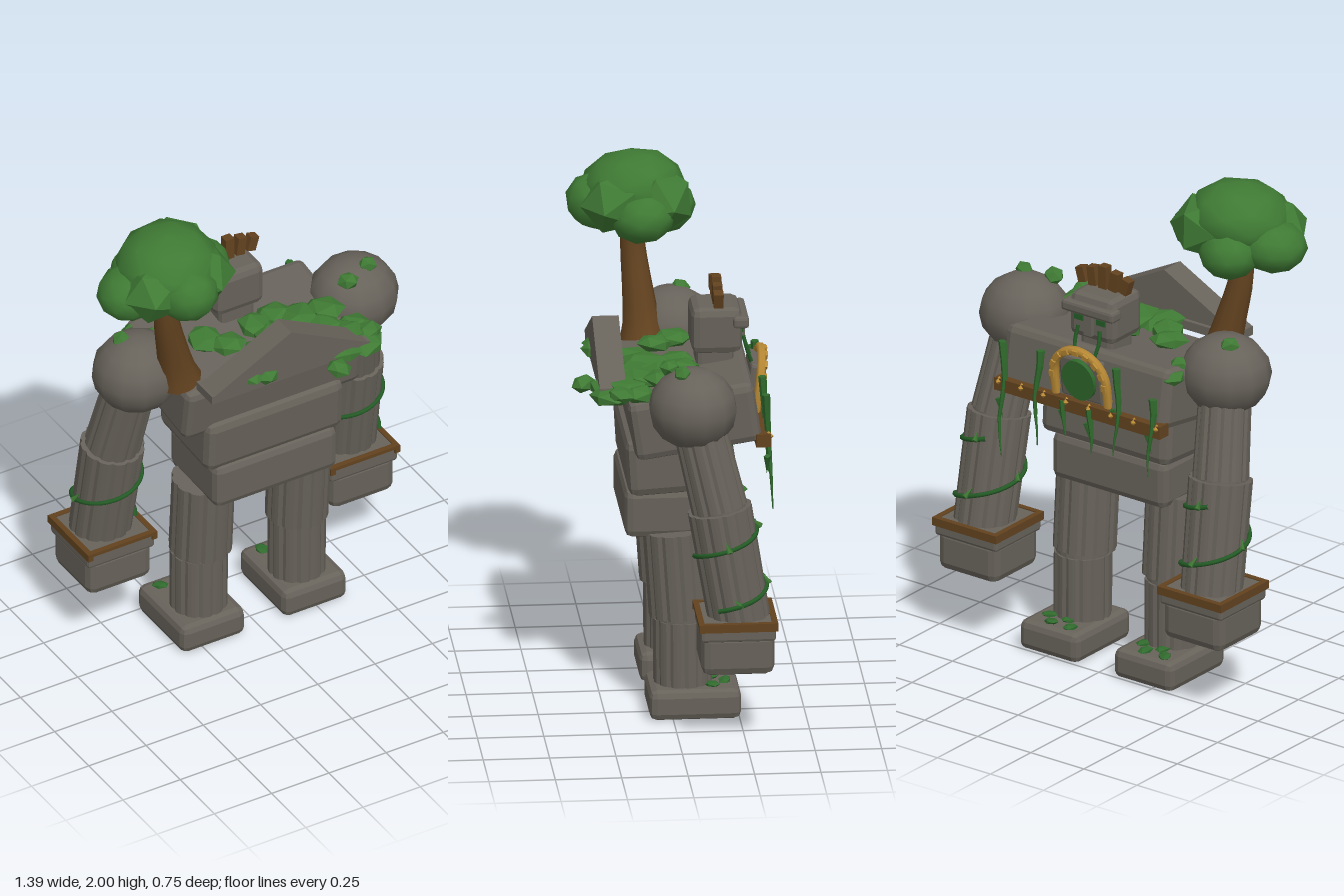
import * as THREE from 'three';
import { RoundedBoxGeometry } from 'three/addons/geometries/RoundedBoxGeometry.js';

const paint = (name, color) => Object.assign(new THREE.MeshStandardMaterial({ color }), { name });
const V = (x, y, z) => new THREE.Vector3(x, y, z);

export function createModel() {
  const stone = paint('stone', 0x67625a);
  const wood = paint('wood', 0x62421f);
  const gold = paint('gold', 0xb98a35);
  const leaf = paint('leaf', 0x3f7a34);
  const ivy = paint('ivy', 0x306a2d);
  const vineGreen = paint('vine', 0x245c26);

  const root = new THREE.Group();
  root.name = 'stoneGolem';
  const body = new THREE.Group();
  body.name = 'body';
  body.position.x = 0.018;
  root.add(body);

  let seed = 7;
  const rnd = () => (seed = (seed * 16807) % 2147483647) / 2147483647;

  const add = (name, geo, mat, x = 0, y = 0, z = 0, rx = 0, ry = 0, rz = 0) => {
    const m = new THREE.Mesh(geo, mat);
    m.name = name;
    m.position.set(x, y, z);
    m.rotation.set(rx, ry, rz);
    body.add(m);
    return m;
  };
  const flat = (g) => {
    const f = g.index ? g.toNonIndexed() : g;
    f.computeVertexNormals();
    return f;
  };
  // Block with chamfered edges
  const block = (w, h, d, c) => flat(new RoundedBoxGeometry(w, h, d, 1, c));
  const box = (w, h, d) => new THREE.BoxGeometry(w, h, d);

  // Column between two points, with shallow grooves around it
  const column = (name, a, b, r0, r1, fluted = true) => {
    const len = a.distanceTo(b);
    const g = new THREE.CylinderGeometry(r1, r0, len, fluted ? 48 : 20, 1);
    if (fluted) {
      const p = g.attributes.position;
      for (let i = 0; i < p.count; i++) {
        const k = Math.round((Math.atan2(p.getZ(i), p.getX(i)) / (2 * Math.PI)) * 48 + 48) % 4;
        const s = k === 0 ? 0.94 : 1;
        p.setXYZ(i, p.getX(i) * s, p.getY(i), p.getZ(i) * s);
      }
    }
    const m = add(name, flat(g), stone);
    m.position.copy(a).lerp(b, 0.5);
    m.quaternion.setFromUnitVectors(V(0, 1, 0), b.clone().sub(a).normalize());
  };

  // Uneven low-poly clump
  const clump = (name, x, y, z, sx, sy, sz, detail, mat = leaf) => {
    const g = new THREE.IcosahedronGeometry(1, detail);
    const m = add(name, g, mat, x, y, z, (rnd() - 0.5) * 0.3, rnd() * 6, (rnd() - 0.5) * 0.3);
    m.scale.set(sx, sy, sz);
  };
  const tube = (name, pts, r, mat, n = 32) =>
    add(name, new THREE.TubeGeometry(new THREE.CatmullRomCurve3(pts), n, r, 6), mat);

  // Torso
  add('pelvis', block(0.535, 0.19, 0.35, 0.03), stone, 0, 0.792, 0);
  add('waist', block(0.6, 0.225, 0.37, 0.035), stone, 0, 0.99, -0.015, 0.06);
  add('chest', block(0.775, 0.235, 0.48, 0.03), stone, 0, 1.19, -0.078, 0.15);

  // Pediment on the back
  const gable = new THREE.Shape([[-0.34, 1.32], [0.34, 1.32], [0, 1.495]].map((p) => new THREE.Vector2(...p)));
  add('pediment', new THREE.ExtrudeGeometry(gable, { depth: 0.1, bevelEnabled: false }), stone, 0, 0, 0.177);
  add('cornice', box(0.69, 0.035, 0.115), stone, 0, 1.305, 0.217);

  // Head with brow, nose and eyes, facing backward
  add('neck', block(0.15, 0.12, 0.14, 0.02), stone, 0, 1.33, -0.18);
  add('head', block(0.212, 0.18, 0.19, 0.03), stone, 0, 1.452, -0.185);
  add('brow', block(0.245, 0.045, 0.06, 0.012), stone, 0, 1.49, -0.275);
  add('nose', box(0.035, 0.08, 0.025), stone, 0, 1.43, -0.285);
  for (const s of [-1, 1]) add('eye', box(0.04, 0.022, 0.008), vineGreen, s * 0.052, 1.45, -0.282);

  // Crown of wooden blocks
  for (let i = -2; i <= 2; i++) {
    add('crownBlock', box(0.036, 0.09 - Math.abs(i) * 0.015, 0.036), wood,
      i * 0.051, 1.597 - Math.abs(i) * 0.007, -0.19, 0, 0, -i * 0.14);
  }

  // Legs, feet, arms and hands
  for (const s of [-1, 1]) {
    const x = s * 0.222;
    add('foot', block(0.277, 0.118, 0.345, 0.028), stone, x, 0.059, -0.083);
    column('lowerLeg', V(s * 0.214, 0.11, -0.045), V(s * 0.214, 0.37, -0.043), 0.11, 0.11);
    column('knee', V(s * 0.214, 0.357, -0.042), V(s * 0.214, 0.392, -0.04), 0.104, 0.104, false);
    column('upperLeg', V(s * 0.21, 0.385, -0.038), V(s * 0.21, 0.72, -0.015), 0.12, 0.12);
    for (let i = 0; i < 4; i++)
      clump('footMoss', x + (i - 1.5) * 0.045, 0.122, -0.2 + (i % 2) * 0.05, 0.034, 0.012, 0.026, 0, ivy);

    const shoulder = add('shoulder', new THREE.SphereGeometry(1, 12, 8), stone, s * 0.473, 1.283, -0.062, 0, 0.2, 0);
    shoulder.scale.set(0.176, 0.156, 0.168);
    const elbow = V(s * 0.522, 0.9, -0.158);
    const wrist = V(s * 0.535, 0.47, -0.23);
    column('upperArm', elbow, V(s * 0.485, 1.23, -0.08), 0.107, 0.1);
    column('elbow', V(s * 0.523, 0.885, -0.161), V(s * 0.52, 0.925, -0.154), 0.1, 0.1, false);
    column('forearm', wrist, elbow, 0.118, 0.122);
    add('cuff', block(0.292, 0.07, 0.282, 0.012), stone, s * 0.53, 0.451, -0.217);
    add('fist', block(0.278, 0.17, 0.276, 0.034), stone, s * 0.53, 0.363, -0.217);
    // Wooden frame round the cuff
    for (const t of [-1, 1]) {
      add('cuffFrameSide', box(0.022, 0.032, 0.298), wood, s * 0.53 + t * 0.14, 0.474, -0.217);
      add('cuffFrameEnd', box(0.3, t > 0 ? 0.014 : 0.032, 0.022), wood, s * 0.53, t > 0 ? 0.483 : 0.474, -0.217 + t * 0.138);
    }

    // Vine winding up the forearm
    const pts = [];
    for (let i = 0; i <= 28; i++) {
      const a = Math.PI * (2.2 - i * 0.1);
      const y = 0.77 - (a / (2 * Math.PI)) * 0.22;
      const c = wrist.clone().lerp(elbow, (y - 0.47) / 0.43);
      pts.push(V(c.x + Math.cos(a) * 0.126, y, c.z + Math.sin(a) * 0.126));
    }
    tube('armVine', pts, 0.009, vineGreen, 64);
    for (const i of [2, 7, 12, 22, 27]) {
      const p = pts[i];
      add('vineLeaf', new THREE.ConeGeometry(0.013, 0.045, 4), leaf,
        p.x, p.y + 0.015, p.z, 0.3, i, 0.5 * Math.sign(Math.sin(i)));
    }
  }

  // Wooden beam with gold studs across the chest
  add('beam', box(0.78, 0.05, 0.055), wood, 0, 1.115, -0.335);
  for (let i = 0; i < 8; i++)
    add('stud', new THREE.OctahedronGeometry(0.019), gold, -0.371 + i * 0.106, 1.128, -0.356);

  // Gold arch around a green medallion, leaning out at the top
  const shrine = new THREE.Group();
  shrine.name = 'archShrine';
  shrine.position.set(0, 1.13, -0.328);
  shrine.rotation.x = -0.14;
  body.add(shrine);
  const arch = [V(-0.122, 0, 0)];
  for (let i = 0; i <= 12; i++) {
    const a = Math.PI * (1 - i / 12);
    arch.push(V(Math.cos(a) * 0.122, 0.1 + Math.sin(a) * 0.12, 0));
  }
  arch.push(V(0.122, 0, 0));
  shrine.add(tube('goldArch', arch, 0.018, gold, 40));
  for (let i = 0; i <= 8; i++) {
    const a = (Math.PI * i) / 8;
    shrine.add(add('archKnob', box(0.02, 0.026, 0.02), gold, Math.cos(a) * 0.122, 0.1 + Math.sin(a) * 0.12, -0.012, 0, 0, a));
  }
  shrine.add(add('medallionBack', block(0.2, 0.18, 0.04, 0.012), stone, 0, 0.095, 0.02));
  const medal = add('medallion', new THREE.CylinderGeometry(1, 1, 0.02, 20), ivy, 0, 0.1, -0.006, Math.PI / 2);
  medal.scale.set(0.076, 1, 0.084);
  shrine.add(medal);

  // Hanging vines, thick at the top and pointed below
  const hanging = [[-0.345, 1.24, 0.93], [-0.185, 1.32, 0.97], [-0.06, 1.13, 0.95], [0.06, 1.13, 0.99], [0.19, 1.3, 0.92], [0.355, 1.29, 0.83]];
  for (const [x, top, low] of hanging) {
    const h = top - low;
    const g = new THREE.CylinderGeometry(0.016, 0.002, h, 6, 6);
    const p = g.attributes.position;
    for (let i = 0; i < p.count; i++) p.setX(i, p.getX(i) + Math.sin(p.getY(i) * 18 + x * 9) * 0.01);
    add('hangingVine', flat(g), ivy, x, (top + low) / 2, -0.36, 0.06);
    add('hangingLeaf', new THREE.ConeGeometry(0.014, 0.08, 4), ivy, x + 0.015, top - h * 0.6, -0.35, Math.PI, 0, 0.3);
  }
  for (const s of [-1, 1]) tube('neckVine', [V(s * 0.05, 1.42, -0.288), V(s * 0.055, 1.37, -0.3), V(s * 0.045, 1.31, -0.32)], 0.008, vineGreen, 8);

  // Moss over the shoulders and back: x, y, z, size
  const moss = [
    [-0.19, 1.335, -0.04, 0.08], [-0.13, 1.335, 0.03, 0.075], [-0.16, 1.335, 0.24, 0.065], [-0.1, 1.325, 0.26, 0.055],
    [0.03, 1.32, -0.03, 0.08], [-0.03, 1.315, 0.12, 0.1], [0.06, 1.325, 0.07, 0.11], [0.12, 1.325, -0.05, 0.08],
    [0.14, 1.32, 0.13, 0.09], [0.2, 1.33, 0.01, 0.1], [0.23, 1.325, 0.1, 0.1], [0.29, 1.34, 0.03, 0.085],
    [0.3, 1.315, 0.17, 0.09], [0.36, 1.305, 0.13, 0.07], [0.34, 1.295, 0.23, 0.095], [0.25, 1.3, 0.25, 0.07],
    [0.18, 1.29, 0.325, 0.05], [0.38, 1.31, 0.2, 0.06], [-0.36, 1.3, -0.25, 0.06], [-0.35, 1.32, -0.17, 0.05],
    [0.4, 1.42, 0.02, 0.045], [0.51, 1.43, -0.02, 0.037], [-0.52, 1.42, -0.1, 0.04],
  ];
  for (const [x, y, z, r] of moss) clump('moss', x, y, z, r, 0.033, r * 0.9, 0);

  // Tree growing from a shoulder
  const trunkPath = new THREE.CatmullRomCurve3([V(-0.36, 1.28, 0.055), V(-0.4, 1.45, 0.07), V(-0.432, 1.6, 0.085), V(-0.44, 1.76, 0.095)]);
  const trunk = new THREE.TubeGeometry(trunkPath, 8, 1, 10);
  const tp = trunk.attributes.position;
  for (let i = 0; i < tp.count; i++) {
    const t = Math.floor(i / 11) / 8;
    const c = trunkPath.getPointAt(t);
    const v = V(0, 0, 0).fromBufferAttribute(tp, i).sub(c).multiplyScalar(0.088 - 0.048 * Math.sqrt(t)).add(c);
    tp.setXYZ(i, v.x, v.y, v.z);
  }
  trunk.computeVertexNormals();
  add('treeTrunk', trunk, wood);
  for (const s of [-1, 1])
    tube('branch', [V(-0.437, 1.65, 0.09), V(-0.437 + s * 0.05, 1.69, 0.09 + s * 0.02), V(-0.437 + s * 0.11, 1.75, 0.09 + s * 0.04)], 0.014, wood, 6);

  // Crown of the tree: x, y, z, width, height, depth, subdivision
  const crown = [
    [-0.43, 1.855, 0.09, 0.205, 0.145, 0.2, 1], [-0.59, 1.785, 0.08, 0.125, 0.1, 0.13, 1],
    [-0.285, 1.785, 0.06, 0.125, 0.1, 0.13, 1], [-0.42, 1.805, 0.215, 0.13, 0.11, 0.12, 1],
    [-0.53, 1.82, 0.16, 0.14, 0.12, 0.13, 0], [-0.34, 1.83, -0.01, 0.15, 0.13, 0.13, 0],
    [-0.46, 1.765, -0.02, 0.14, 0.105, 0.12, 1], [-0.33, 1.83, 0.16, 0.14, 0.12, 0.13, 0],
  ];
  for (const [x, y, z, a, b, c, d] of crown) clump('foliage', x, y, z, a, b, c, d);

  return root;
}
